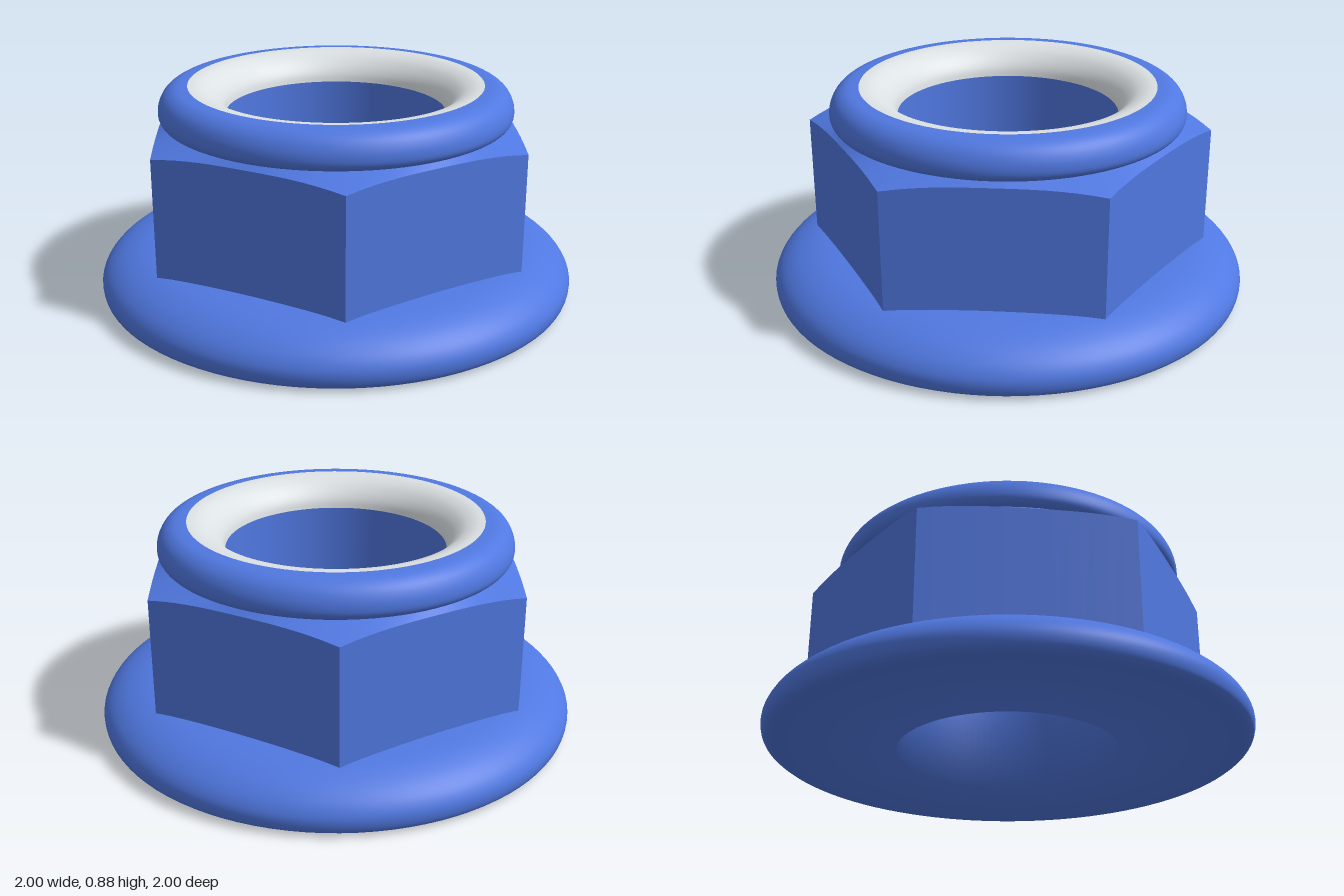
import * as THREE from 'three';

const blue = new THREE.MeshStandardMaterial({ color: 0x5078e1 });
blue.name = 'blue metal';
const white = new THREE.MeshStandardMaterial({ color: 0xdce1e4 });
white.name = 'white nylon';

const BORE = 0.457, APOTHEM = 0.727, CORNER = 0.84, SEGMENTS = 96;

const points = (list) => list.map(([x, y]) => new THREE.Vector2(x, y));
const curve = (list, n) => new THREE.SplineCurve(points(list)).getPoints(n);

function addMesh(group, name, geometry, material) {
  const mesh = new THREE.Mesh(geometry, material);
  mesh.name = name;
  group.add(mesh);
}

// Strip of quads between a lower and an upper ring of points, facing outwards
function strip(lower, upper) {
  const n = lower.length, index = [];
  for (let i = 0; i < n - 1; i++) {
    index.push(i + 1, i, n + i, i + 1, n + i, n + i + 1);
  }
  const g = new THREE.BufferGeometry().setFromPoints([...lower, ...upper]);
  g.setIndex(index);
  g.computeVertexNormals();
  return g;
}

// Points of the hexagon side number k, at a height given by the radius
function sidePoints(k, height, radius = (r) => r) {
  const out = [];
  for (let i = 0; i <= 16; i++) {
    const local = (i / 16 - 0.5) * Math.PI / 3;
    const a = (k + 0.5) * Math.PI / 3 + local;
    const r = APOTHEM / Math.cos(local);
    const q = radius(r);
    out.push(new THREE.Vector3(q * Math.cos(a), height(r), q * Math.sin(a)));
  }
  return out;
}

export function createModel() {
  const nut = new THREE.Group();
  nut.name = 'flangeNut';

  // Bore, flat underside and rounded flange in one turned profile
  const flange = [
    ...points([[BORE, 0.765], [BORE, 0.4], [BORE, 0.0], [0.945, 0.0]]),
    ...curve([[0.97, 0.006], [0.992, 0.025], [1, 0.06], [0.993, 0.095], [0.965, 0.135],
      [0.91, 0.175], [0.83, 0.205], [0.74, 0.218], [0.68, 0.222]], 28),
  ];
  addMesh(nut, 'flangeAndBore', new THREE.LatheGeometry(flange, SEGMENTS), blue);

  // Six flat wrench faces, and the sloping shoulder above each
  const edgeHeight = (r) => 0.722 - 0.027 * ((r - APOTHEM) / (CORNER - APOTHEM)) ** 1.5;
  for (let k = 0; k < 6; k++) {
    const edge = sidePoints(k, (r) => edgeHeight(Math.max(r, APOTHEM)));
    addMesh(nut, 'wrenchFace', strip(sidePoints(k, () => 0.19), edge), blue);
    const waist = sidePoints(k, () => 0.742, () => 0.702);
    addMesh(nut, 'shoulder', strip(edge, waist), blue);
  }

  // Rounded collar rolled over the insert
  const collar = curve([[0.69, 0.73], [0.702, 0.738], [0.722, 0.75], [0.733, 0.775],
    [0.728, 0.815], [0.705, 0.855], [0.665, 0.88], [0.61, 0.885]], 28);
  addMesh(nut, 'collar', new THREE.LatheGeometry(collar, SEGMENTS), blue);

  // Locking ring, funnelling down into the bore
  const insert = curve([[0.612, 0.884], [0.57, 0.88], [0.525, 0.862], [0.488, 0.83],
    [0.465, 0.795], [0.456, 0.762]], 20);
  addMesh(nut, 'lockingInsert', new THREE.LatheGeometry(insert, SEGMENTS), white);

  return nut;
}
